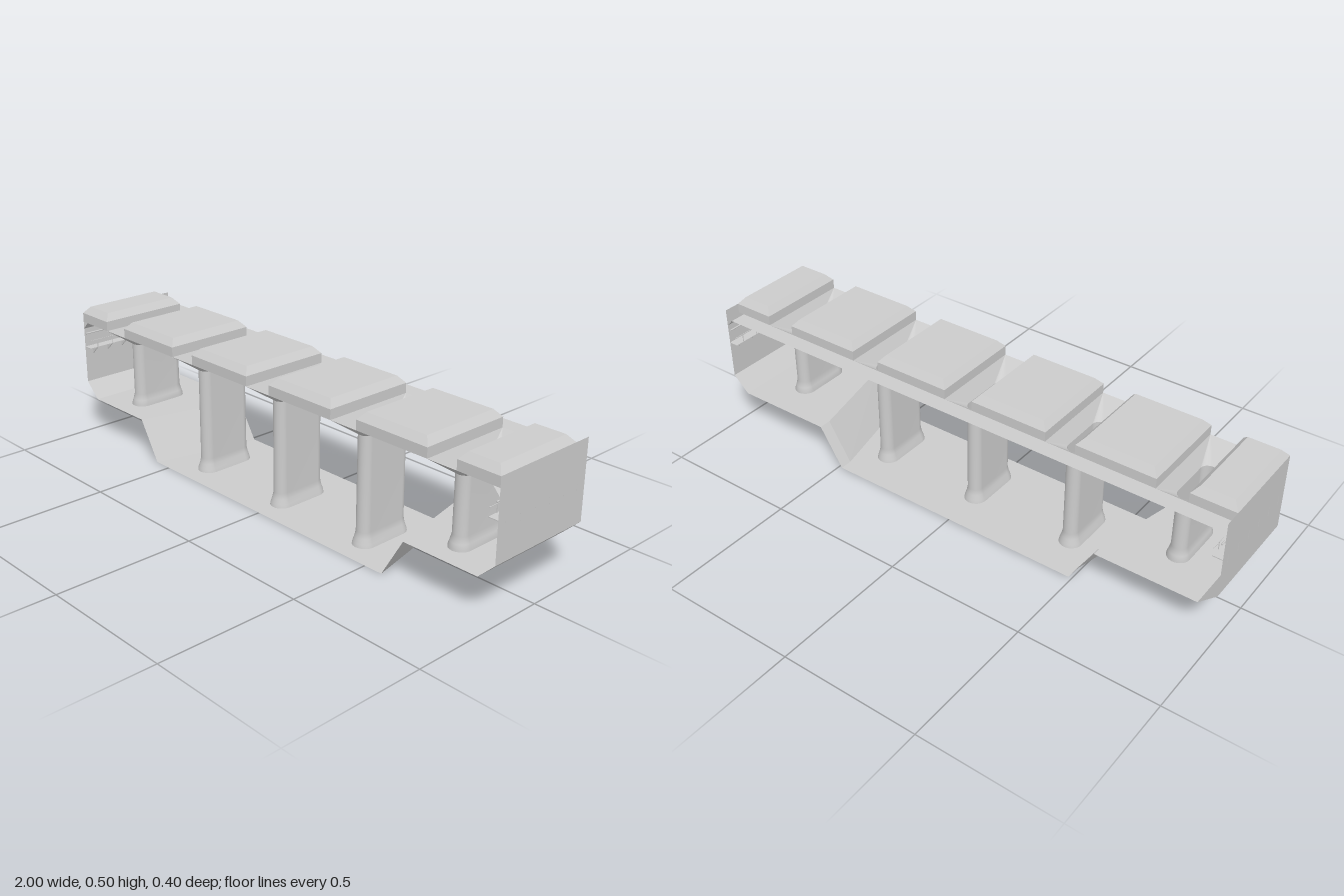
import * as THREE from 'three';
import { mergeVertices } from 'three/addons/utils/BufferGeometryUtils.js';

const material = new THREE.MeshStandardMaterial({ color: 0xcccccc, side: THREE.DoubleSide });
const PILLARS = [-0.79, -0.395, 0, 0.395, 0.79];
const GAP = 0.055; // half width of the opening over a pillar
const BACK = -0.14, FRONT = 0.2, COLUMN_Z = 0.025;

function add(parent, name, geometry, x = 0, y = 0, z = 0) {
  const mesh = new THREE.Mesh(geometry, material);
  mesh.name = name;
  mesh.position.set(x, y, z);
  parent.add(mesh);
  return mesh;
}

// Skin over rows of [x, y, z] points with equal counts
function skin(rows, { closed = false, cap = false, smooth = false } = {}) {
  const n = rows[0].length, index = [];
  for (let r = 0; r < rows.length - 1; r++) {
    for (let i = 0; i < (closed ? n : n - 1); i++) {
      const j = (i + 1) % n, a = r * n + i, b = r * n + j;
      index.push(a, a + n, b, a + n, b + n, b);
    }
  }
  const last = (rows.length - 1) * n;
  if (cap) for (let i = 1; i < n - 1; i++) index.push(last, last + i + 1, last + i);
  let geo = new THREE.BufferGeometry();
  geo.setAttribute('position', new THREE.Float32BufferAttribute(rows.flat(2), 3));
  geo.setIndex(index);
  geo = smooth ? mergeVertices(geo, 1e-5) : geo.toNonIndexed();
  geo.computeVertexNormals();
  return geo;
}

// Horizontal rounded rectangle: half sizes hx, hz and corner radius r
function ring(y, hx, hz, r, cz = 0, steps = 8) {
  const points = [];
  [[1, 1], [-1, 1], [-1, -1], [1, -1]].forEach(([sx, sz], q) => {
    for (let k = 0; k <= steps; k++) {
      const a = (q + k / steps) * Math.PI / 2;
      points.push([sx * (hx - r) + r * Math.cos(a), y, cz + sz * (hz - r) + r * Math.sin(a)]);
    }
  });
  return points;
}

// Open stadium-shaped column with a flared foot and a funnel capital
function pillar(x) {
  const group = new THREE.Group();
  group.name = 'pillar';
  group.position.x = x;
  const outer = Math.abs(x) > 0.6;
  const foot = outer
    ? [[0.115, 0.04, 0.111], [0.15, 0.039, 0.11], [0.165, 0.034, 0.105], [0.188, 0.028, 0.099]]
    : [[0, 0.041, 0.111], [0.012, 0.038, 0.109], [0.03, 0.032, 0.103], [0.05, 0.028, 0.099]];
  const rows = [...foot, [0.385, 0.027, 0.098]].map(([y, hx, hz]) => ring(y, hx, hz, hx, COLUMN_Z));
  add(group, 'pillarShaft', skin(rows, { closed: true, smooth: true }));
  add(group, 'pillarCapital', skin([
    ring(0.385, 0.027, 0.098, 0.027, COLUMN_Z),
    ring(0.44, GAP, (FRONT - BACK) / 2, 0, (FRONT + BACK) / 2),
  ], { closed: true }));
  return group;
}

// Ceiling coffer: hollow block with a chamfered top, open below
function coffer(x0, x1) {
  const hx = (x1 - x0) / 2, hz = (FRONT - BACK) / 2, inset = 0.022;
  const rows = [[0.44, 0], [0.475, 0], [0.5, inset]].map(([y, d]) => ring(y, hx - d, hz - d, 0, 0, 1));
  return [skin(rows, { closed: true, cap: true }), (x0 + x1) / 2, 0, (FRONT + BACK) / 2];
}

// Walkway on an end wall, built for +x
function walkway() {
  const group = new THREE.Group();
  group.name = 'wallWalkway';
  add(group, 'walkwayDeck', new THREE.BoxGeometry(0.035, 0.003, 0.4), 0.9825, 0.34, 0);
  const shape = new THREE.Shape([[0.966, 0.34], [1, 0.34], [1.0005, 0.308]].map(p => new THREE.Vector2(...p)));
  const bracket = new THREE.ExtrudeGeometry(shape, { depth: 0.003, bevelEnabled: false });
  for (let i = 0; i < 6; i++) {
    const z = (i - 2.5) * 0.066;
    add(group, 'walkwayBracket', bracket, 0, 0, z - 0.0015);
    add(group, 'railPost', new THREE.BoxGeometry(0.002, 0.03, 0.002), 0.967, 0.355, z);
  }
  add(group, 'handRail', new THREE.BoxGeometry(0.002, 0.002, 0.4), 0.967, 0.37, 0);
  const pipe = new THREE.CylinderGeometry(0.003, 0.003, 0.4, 8);
  pipe.rotateX(Math.PI / 2);
  add(group, 'wallPipe', pipe, 0.99, 0.395, 0);
  return group;
}

export function createModel() {
  const model = new THREE.Group();
  model.name = 'pillaredHall';

  // Sunken floor whose side slopes run askew, then straight at the back
  const floorRow = (z, top, low) =>
    [[-0.94, 0.143], [-top, 0.143], [-low, 0], [low, 0], [top, 0.143], [0.94, 0.143]].map(([x, y]) => [x, y, z]);
  add(model, 'floor', skin([
    floorRow(-0.2, 0.575, 0.487), floorRow(-0.155, 0.575, 0.487), floorRow(0.2, 0.655, 0.57),
  ].reverse()));

  // End walls with a slanted skirting, a cornice and a walkway
  for (const s of [-1, 1]) {
    const sheet = (profile, z0 = -0.2, z1 = 0.2) =>
      skin([z0, z1].map(z => profile.map(([x, y]) => [s * x, y, z])));
    add(model, 'endWall', sheet([[0.94, 0.143], [1, 0.2], [1, 0.475]]));
    add(model, 'cornice', sheet([[0.975, 0.44], [1, 0.413]]));
    const walk = walkway();
    if (s < 0) walk.rotation.y = Math.PI;
    model.add(walk);
  }

  // Pillars, and the coffers between them
  PILLARS.forEach(x => model.add(pillar(x)));
  const edges = [-1, ...PILLARS.flatMap(x => [x - GAP, x + GAP]), 1];
  for (let i = 0; i < edges.length; i += 2) add(model, 'ceilingCoffer', ...coffer(edges[i], edges[i + 1]));

  // Flat ledge behind the coffers
  add(model, 'backLedge', skin([BACK, -0.2].map(z => [[-0.975, 0.44, z], [0.975, 0.44, z]])));

  // Small lamps hanging in the coffers
  for (const x of [-0.593, -0.198, 0.198, 0.593]) {
    add(model, 'lampRod', new THREE.CylinderGeometry(0.001, 0.001, 0.075, 6), x, 0.4625, 0.03);
    add(model, 'lamp', new THREE.CylinderGeometry(0.005, 0.006, 0.006, 10), x, 0.426, 0.03);
  }
  return model;
}
